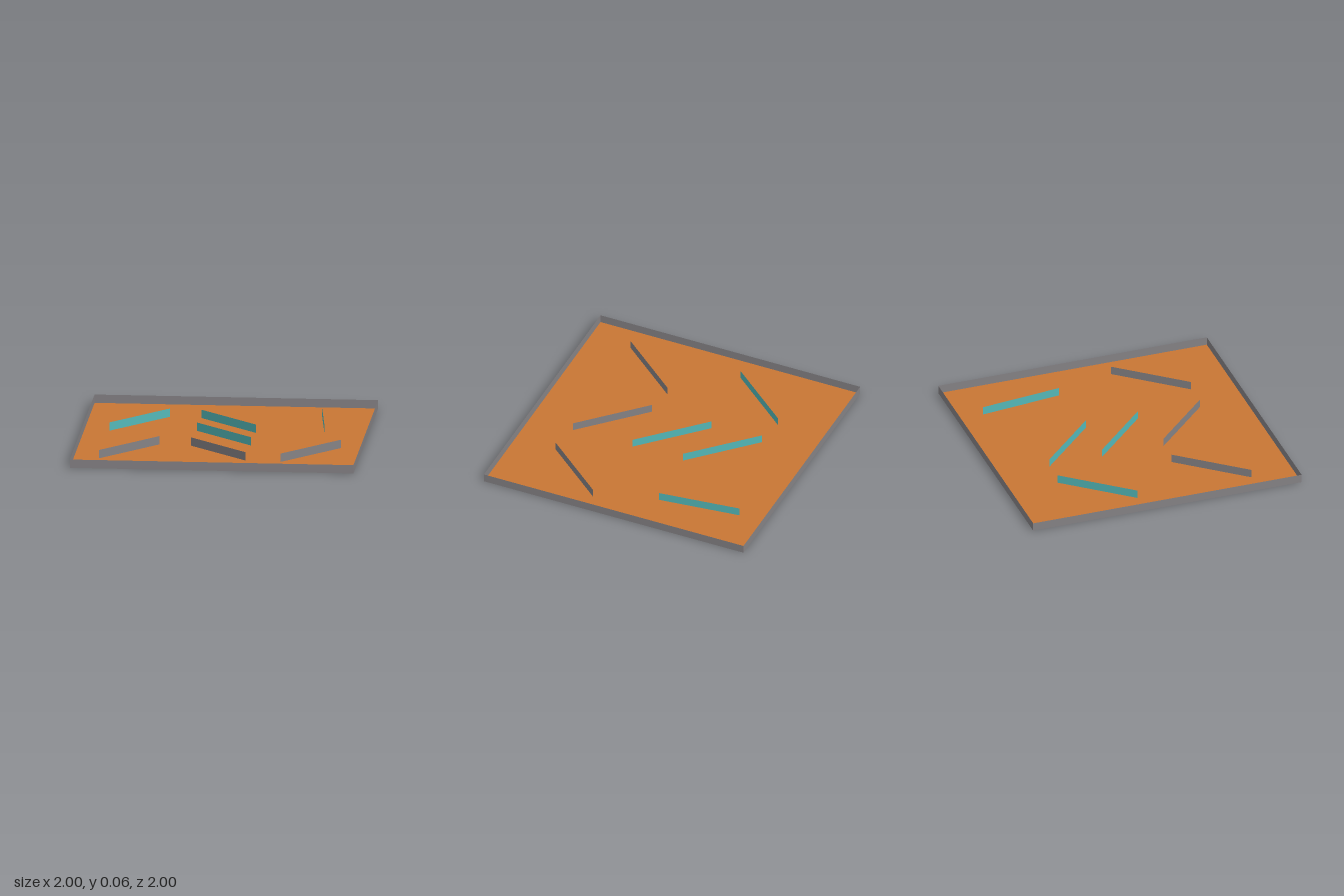
import * as THREE from 'three';

const HEIGHT = 0.06;

function makeMaterial(name, color) {
  const m = new THREE.MeshStandardMaterial({ color, side: THREE.DoubleSide });
  m.name = name;
  return m;
}

// Thin upright panel standing on the floor between two plan points
function panel(name, material, [x1, z1], [x2, z2]) {
  const dx = x2 - x1, dz = z2 - z1;
  const mesh = new THREE.Mesh(new THREE.PlaneGeometry(Math.hypot(dx, dz), HEIGHT), material);
  mesh.name = name;
  mesh.position.set((x1 + x2) / 2, HEIGHT / 2, (z1 + z2) / 2);
  mesh.rotation.y = Math.atan2(-dz, dx);
  return mesh;
}

export function createModel() {
  const group = new THREE.Group();
  group.name = 'walledTray';
  const orange = makeMaterial('floorOrange', 0xc87634);
  const grey = makeMaterial('wallGrey', 0x858285);
  const teal = makeMaterial('barrierTeal', 0x54b8b8);

  // Square floor
  const floor = new THREE.Mesh(new THREE.PlaneGeometry(2, 2).rotateX(-Math.PI / 2), orange);
  floor.name = 'floor';
  group.add(floor);

  // Outer walls, running around the corners
  const corners = [[-1, 1], [1, 1], [1, -1], [-1, -1]];
  ['frontWall', 'leftWall', 'backWall', 'rightWall'].forEach((name, i) =>
    group.add(panel(name, grey, corners[i], corners[(i + 1) % 4])));

  // Free-standing barriers on the floor
  const barriers = [
    ['backRightBarrier', teal, [-0.82, -0.16], [-0.435, -0.62]],
    ['backMiddleBarrier', teal, [-0.21, -0.6], [0.21, -0.18]],
    ['centreBarrier', teal, [-0.21, -0.21], [0.21, 0.21]],
    ['backLeftBarrier', teal, [0.62, -0.8], [0.69, -0.21]],
    ['frontRightBarrier', grey, [-0.82, 0.69], [-0.435, 0.23]],
    ['frontMiddleBarrier', grey, [-0.21, 0.25], [0.21, 0.67]],
    ['frontLeftBarrier', grey, [0.46, 0.69], [0.845, 0.23]],
  ];
  barriers.forEach((b) => group.add(panel(...b)));

  return group;
}
